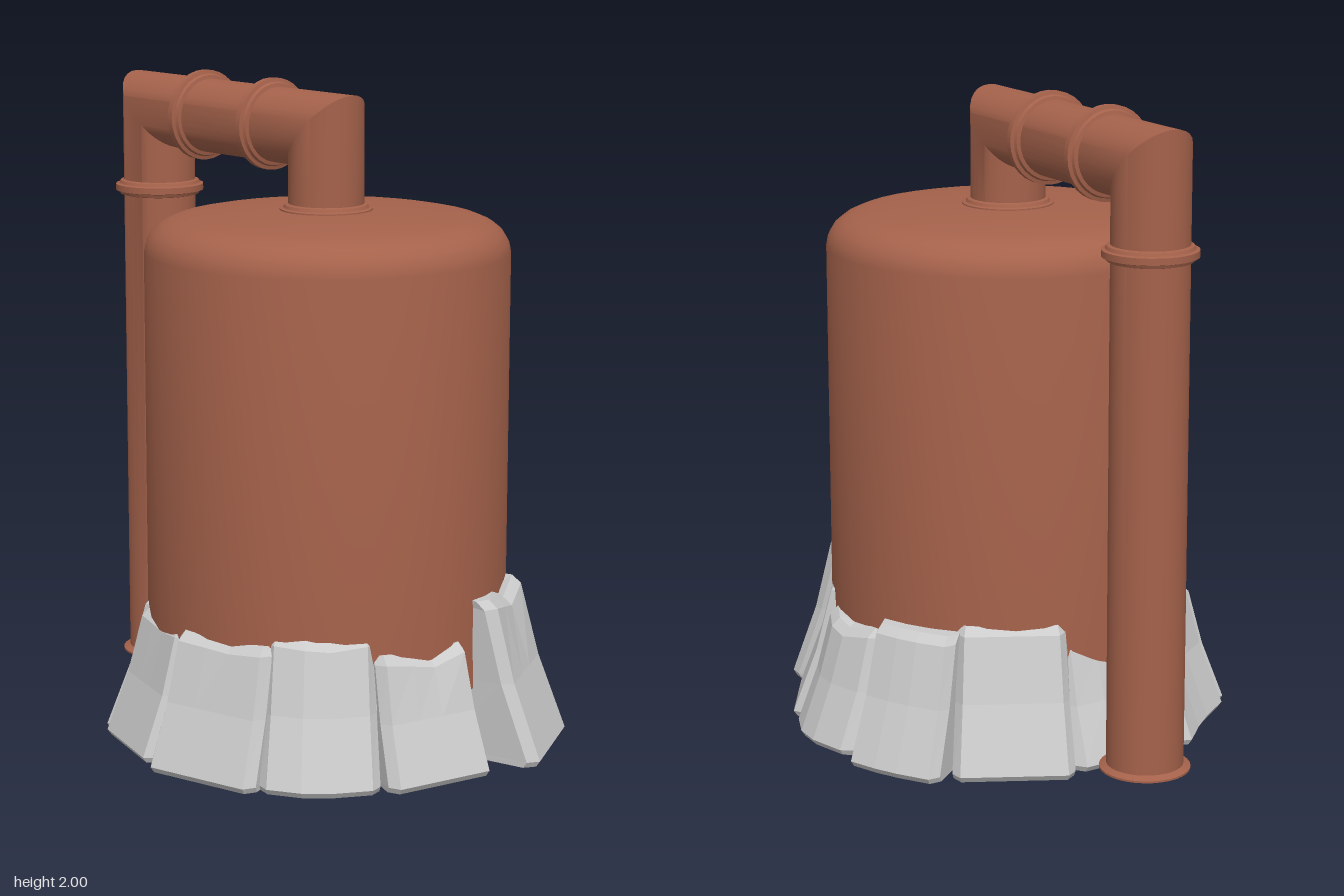
import * as THREE from 'three';
import { toCreasedNormals } from 'three/addons/utils/BufferGeometryUtils.js';

const CZ = 0.1;          // z of the tank axis
const PIPE_X = -0.005, PIPE_R = 0.115, PIPE_Y = 1.86, PIPE_Z = -0.712;

// Skin a series of closed rings (counterclockwise seen from their direction of travel).
function loft(rings, capped) {
  const n = rings[0].length, pos = [], idx = [];
  rings.forEach(r => r.forEach(p => pos.push(p.x, p.y, p.z)));
  for (let i = 0; i < rings.length - 1; i++) {
    for (let j = 0; j < n; j++) {
      const k = (j + 1) % n, a = i * n + j, b = i * n + k;
      idx.push(a, b, b + n, a, b + n, a + n);
    }
  }
  if (capped) {
    [0, rings.length - 1].forEach((ri, end) => {
      const c = new THREE.Vector3();
      rings[ri].forEach(p => c.addScaledVector(p, 1 / n));
      const ci = pos.length / 3;
      pos.push(c.x, c.y, c.z);
      for (let j = 0; j < n; j++) {
        const a = ri * n + j, b = ri * n + (j + 1) % n;
        if (end) idx.push(ci, a, b); else idx.push(ci, b, a);
      }
    });
  }
  const g = new THREE.BufferGeometry();
  g.setAttribute('position', new THREE.Float32BufferAttribute(pos, 3));
  g.setIndex(idx);
  return g;
}

function lathe(points, segments) {
  const pts = points.map(p => new THREE.Vector2(p[0], p[1]));
  return toCreasedNormals(new THREE.LatheGeometry(pts, segments), 0.75);
}

// One leaning block: outer foot corners, height, dip of the top edge, outward bulge.
function stoneGeometry([x0, z0, x1, z1, height, dip, bulge]) {
  const p0 = new THREE.Vector3(x0, 0, z0), p1 = new THREE.Vector3(x1, 0, z1);
  const mid = p0.clone().lerp(p1, 0.5), half = p0.distanceTo(p1) / 2;
  const along = p1.clone().sub(p0).normalize();
  const inward = new THREE.Vector3(0, 1, 0).cross(along).normalize();
  if (inward.dot(mid.clone().sub(new THREE.Vector3(0, 0, CZ))) > 0) inward.negate();
  const angle = p => Math.atan2(-(p.z - CZ), p.x);
  const a0 = angle(p0) - 0.05;
  let a1 = angle(p1) + 0.05;
  if (a1 < a0) a1 += Math.PI * 2;

  // outer edge across the face: position along it, depth, share of the dip
  const face = [[-1, 0.035, 0.1], [-0.88, 0, 0], [-0.3, -bulge, 0.5], [0.2, -bulge, 1], [0.88, 0, 0], [1, 0.035, 0.1]];
  // levels: height share, height offset, lean, width, inset of the rim
  const levels = [[0, 0, 0, 0.98, 0.012], [0, 0.018, 0.0, 1, 0], [0.5, 0, 0.075, 0.93, 0],
    [1, -0.025, 0.125, 0.88, 0], [1, 0, 0.13, 0.85, 0.022]];
  const rings = levels.map(([h, dy, lean, width, inset]) => {
    const y = h * height + dy;
    const ring = face.map(([u, d, s]) => mid.clone()
      .addScaledVector(along, u * half * width)
      .addScaledVector(inward, d + lean * (height / 0.44) + inset)
      .setY(y - (h === 1 ? s * dip : 0)));
    const r = 0.45 + 0.08 * h;
    [1, 0.5, 0].forEach(t => {
      const a = a0 + (a1 - a0) * t;
      ring.push(new THREE.Vector3(r * Math.cos(a), y, CZ - r * Math.sin(a)));
    });
    return ring;
  });
  return loft(rings, true);
}

export function createModel() {
  const model = new THREE.Group();
  const copper = new THREE.MeshStandardMaterial({ color: 0xa5624b });
  const copperOpen = new THREE.MeshStandardMaterial({ color: 0xa5624b, side: THREE.DoubleSide });
  const stone = new THREE.MeshStandardMaterial({ color: 0xcccccc, flatShading: true });
  const add = (name, geometry, material, x = 0, y = 0, z = 0, parent = model) => {
    const m = new THREE.Mesh(geometry, material);
    m.name = name;
    m.position.set(x, y, z);
    parent.add(m);
    return m;
  };

  // Tank with rounded shoulder and shallow dome
  add('tank', lathe([[0, 0.22], [0.555, 0.22], [0.555, 1.5], [0.549, 1.53], [0.532, 1.558], [0.505, 1.58],
    [0.47, 1.595], [0.42, 1.605], [0.25, 1.619], [0, 1.63]], 40), copper, 0, 0, CZ);

  // Mitred pipe: up from the dome, back, and down behind the tank
  const pipeRing = f => Array.from({ length: 32 }, (_, i) => {
    const t = i / 32 * Math.PI * 2, s = -PIPE_R * Math.sin(t);
    const [y, z] = f(s);
    return new THREE.Vector3(PIPE_X + PIPE_R * Math.cos(t), y, z);
  });
  const pipe = loft([
    pipeRing(s => [1.6, CZ + s]),
    pipeRing(s => [PIPE_Y + s, CZ + s]),
    pipeRing(s => [PIPE_Y + s, PIPE_Z - s]),
    pipeRing(s => [0.06, PIPE_Z - s]),
  ], false);
  add('pipe', toCreasedNormals(pipe, 0.6), copperOpen);

  // Pipe collars
  const collar = lathe([[0.11, -0.026], [0.126, -0.022], [0.13, -0.013], [0.141, -0.01], [0.141, 0.01],
    [0.13, 0.013], [0.126, 0.022], [0.11, 0.026]], 32);
  for (const z of [-0.15, -0.478]) {
    add('pipeCollar', collar, copper, PIPE_X, PIPE_Y, z).rotation.x = Math.PI / 2;
  }
  add('downpipeCollar', collar, copper, PIPE_X, 1.61, PIPE_Z);
  add('domeCollar', collar, copper, PIPE_X, 1.618, CZ);
  add('pipeFoot', lathe([[0.114, 0], [0.136, 0], [0.136, 0.006], [0.114, 0.016]], 32), copperOpen, PIPE_X, 0.056, PIPE_Z);

  // Ring of leaning stones, counterclockwise from the right-hand side
  const base = new THREE.Group();
  base.name = 'stoneBase';
  model.add(base);
  [
    [0.67, 0.27, 0.68, -0.08, 0.38, 0.02, 0.036],
    [0.70, -0.14, 0.55, -0.42, 0.42, 0, 0.01],
    [0.49, -0.43, 0.16, -0.595, 0.44, 0, 0],
    [0.12, -0.56, -0.24, -0.51, 0.38, 0.02, 0.01],
    [-0.28, -0.54, -0.58, -0.28, 0.43, 0.02, -0.01],
    [-0.59, -0.27, -0.68, 0.05, 0.4, 0.01, 0],
    [-0.715, 0.09, -0.62, 0.46, 0.41, 0.01, 0],
    [-0.59, 0.47, -0.33, 0.71, 0.44, 0.01, 0.03],
    [-0.3, 0.74, 0.05, 0.8, 0.385, 0.03, 0],
    [0.18, 0.85, 0.51, 0.65, 0.5, 0.04, 0],
    [0.5, 0.58, 0.665, 0.3, 0.44, 0, 0],
  ].forEach(s => add('baseStone', stoneGeometry(s), stone, 0, 0, 0, base));

  return model;
}
